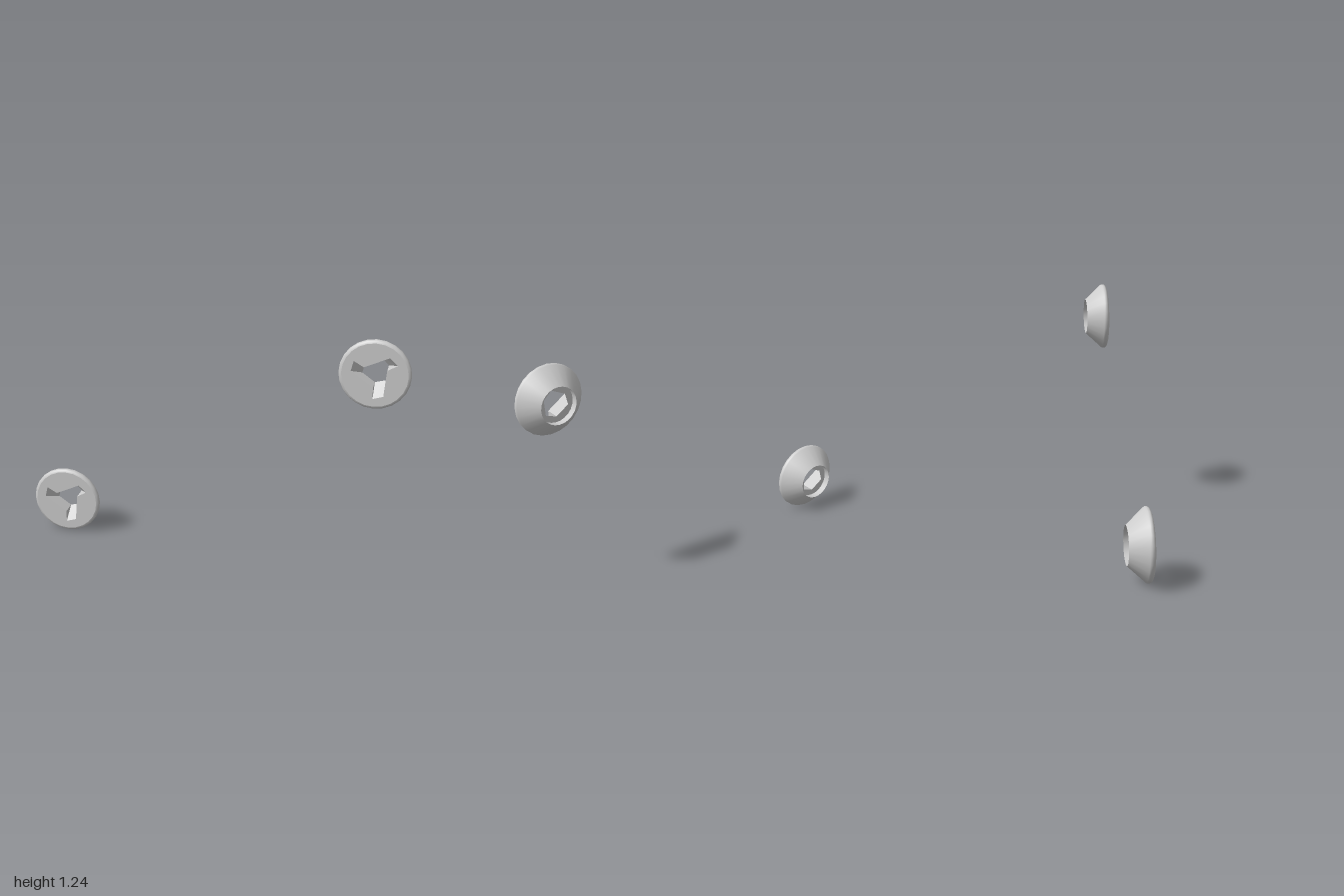
import * as THREE from 'three';
import { toCreasedNormals } from 'three/addons/utils/BufferGeometryUtils.js';

const SIDES = 24, FRONT = 0.058, BACK = -0.058, FLOOR = -0.022;
const FACE_R = 0.167, RECESS_R = 0.097;
const material = new THREE.MeshStandardMaterial({ color: 0xcccccc, side: THREE.DoubleSide });

const circle = (r) => Array.from({ length: SIDES }, (_, i) => {
  const a = (i / SIDES) * Math.PI * 2;
  return new THREE.Vector2(r * Math.cos(a), r * Math.sin(a));
});

// Repeats a few outline points three times around the axis
function threefold(points) {
  const ring = [];
  for (let k = 0; k < 3; k++) {
    for (const [x, y] of points) {
      ring.push(new THREE.Vector2(x, y).rotateAround(new THREE.Vector2(), (k * Math.PI * 2) / 3));
    }
  }
  return ring;
}

// One wing: inner corners A and B, outer corners C and D
const A = [-0.005, -0.067], B = [0.053, -0.051], C = [0.048, -0.110], D = [-0.005, -0.126];
const frontRing = threefold([A, D, C, B]);
const backRing = threefold([A, A, B, B]); // wing floors ramp down to a hexagon
const hexagon = threefold([A, B]);

function plate(radius, hole, z, flip) {
  const shape = new THREE.Shape(circle(radius));
  shape.holes.push(new THREE.Path(hole));
  const geometry = new THREE.ShapeGeometry(shape);
  if (flip) {
    // Reverse the faces so that the plate looks backwards
    geometry.index.array.reverse();
    geometry.computeVertexNormals();
  }
  return geometry.translate(0, 0, z);
}

function slotWalls() {
  const positions = [];
  const n = frontRing.length;
  const push = (p, z) => positions.push(p.x, p.y, z);
  for (let i = 0; i < n; i++) {
    const j = (i + 1) % n;
    push(frontRing[i], FRONT); push(frontRing[j], FRONT); push(backRing[j], FLOOR);
    // Wing sides are single triangles
    if (backRing[i].distanceTo(backRing[j]) > 1e-6) {
      push(frontRing[i], FRONT); push(backRing[j], FLOOR); push(backRing[i], FLOOR);
    }
  }
  const geometry = new THREE.BufferGeometry();
  geometry.setAttribute('position', new THREE.Float32BufferAttribute(positions, 3));
  geometry.computeVertexNormals();
  return geometry;
}

// Recess wall, countersunk cone and rounded rim in one profile
function bodyGeometry() {
  const profile = [
    [RECESS_R, FLOOR], [RECESS_R, BACK], [0.178, 0.029], [0.182, 0.036],
    [0.182, 0.046], [0.177, 0.054], [FACE_R, FRONT],
  ].map(([r, z]) => new THREE.Vector2(r, z));
  const lathe = new THREE.LatheGeometry(profile, SIDES).rotateX(Math.PI / 2);
  return toCreasedNormals(lathe, 0.75);
}

export function createModel() {
  const model = new THREE.Group();
  const parts = {
    headBody: bodyGeometry(),
    frontFace: plate(FACE_R, frontRing, FRONT, false),
    slotWalls: slotWalls(),
    recessFloor: plate(RECESS_R, hexagon, FLOOR, true),
  };

  // Two identical screw heads, set diagonally
  for (const [name, x, y] of [['lowerScrewHead', -0.818, 0.182], ['upperScrewHead', 0.818, 1.056]]) {
    const head = new THREE.Group();
    head.name = name;
    head.position.set(x, y, 0);
    for (const [part, geometry] of Object.entries(parts)) {
      const mesh = new THREE.Mesh(geometry, material);
      mesh.name = part;
      head.add(mesh);
    }
    model.add(head);
  }
  return model;
}
